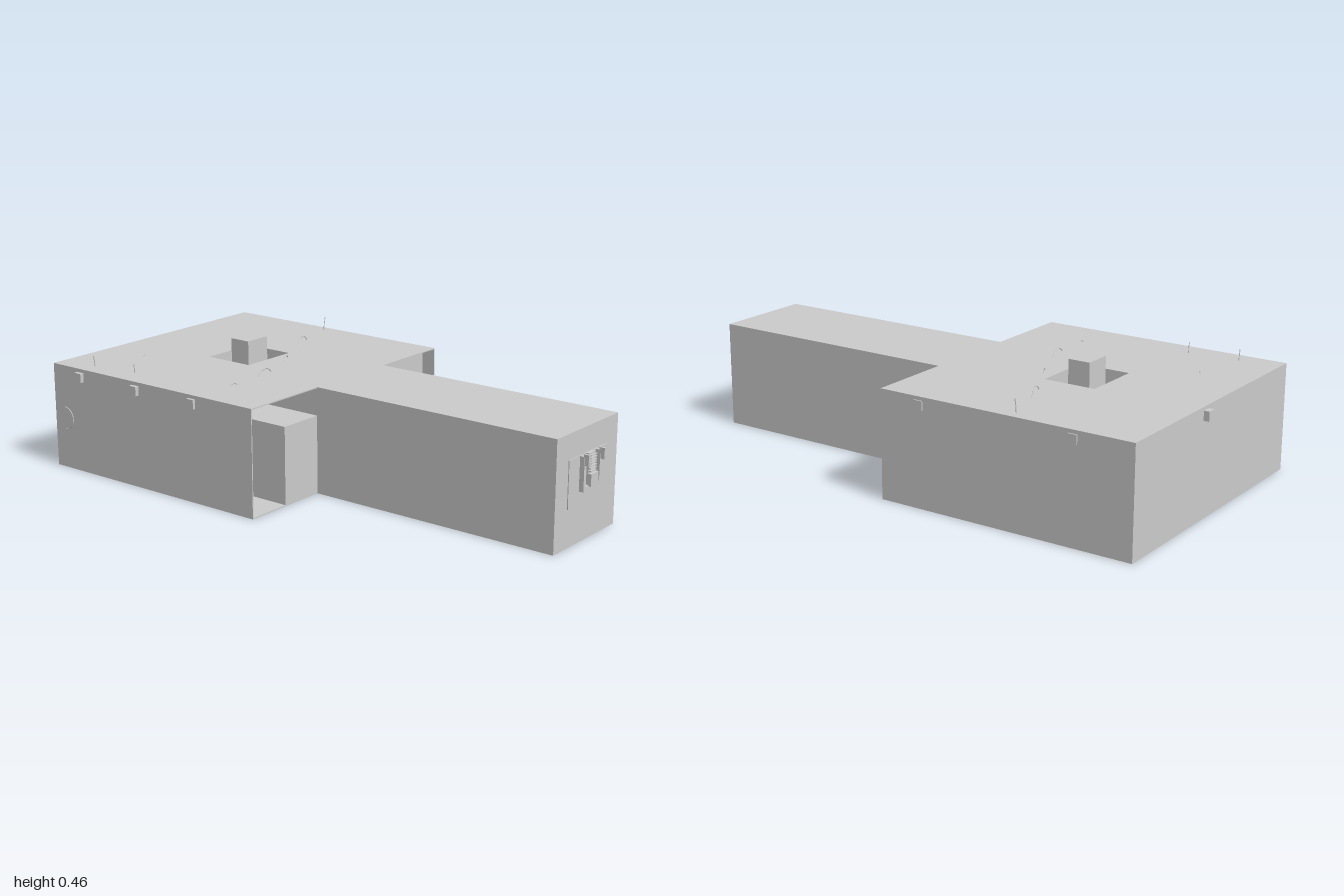
import * as THREE from 'three';

const grey = new THREE.MeshStandardMaterial({ color: 0xcccccc, side: THREE.DoubleSide });

export function createModel() {
  const model = new THREE.Group();

  const add = (name, geometry, parent = model) => {
    const mesh = new THREE.Mesh(geometry, grey);
    mesh.name = name;
    parent.add(mesh);
    return mesh;
  };
  // Box given by its limits on each axis
  const box = (name, x0, x1, y0, y1, z0, z1, parent) => {
    const mesh = add(name, new THREE.BoxGeometry(x1 - x0, y1 - y0, z1 - z0), parent);
    mesh.position.set((x0 + x1) / 2, (y0 + y1) / 2, (z0 + z1) / 2);
    return mesh;
  };
  const rectHole = (x0, x1, y0, y1) => new THREE.Path([
    new THREE.Vector2(x0, y0), new THREE.Vector2(x0, y1),
    new THREE.Vector2(x1, y1), new THREE.Vector2(x1, y0)]);
  const rectShape = (x0, x1, y0, y1) => new THREE.Shape([
    new THREE.Vector2(x0, y0), new THREE.Vector2(x1, y0),
    new THREE.Vector2(x1, y1), new THREE.Vector2(x0, y1)]);
  const extrude = (shape, depth) => new THREE.ExtrudeGeometry(shape, { depth, bevelEnabled: false, curveSegments: 6 });

  // Main hall: floor, three walls and a roof with a square opening
  const L = -0.52, R = 0.525, B = -0.98, F = -0.015, H = 0.39, T = 0.004;
  box('floor', L, R, 0, T, B, F);
  box('backWall', L, R, 0, H, B, B + T);
  box('rightWall', L, L + T, 0, H, B, F);
  box('leftWall', R - T, R, 0, H, B, F);
  const roofShape = rectShape(L, R, -F, -B);
  roofShape.holes.push(rectHole(-0.1, 0.125, 0.4, 0.595));
  const roof = add('roof', extrude(roofShape, T));
  roof.rotation.x = -Math.PI / 2;
  roof.position.y = H - T;

  // Sunken light well with the shaft rising out of it
  const well = new THREE.Group();
  well.name = 'lightWell';
  model.add(well);
  box('wellFloor', -0.1, 0.125, 0.285, 0.289, -0.595, -0.4, well);
  for (const x of [-0.104, 0.125]) box('wellSide', x, x + T, 0.285, H - T, -0.599, -0.396, well);
  for (const z of [-0.599, -0.4]) box('wellEnd', -0.1, 0.125, 0.285, H - T, z, z + T, well);
  box('shaft', -0.037, 0.068, 0.285, 0.457, -0.54, -0.457, well);

  // Corridor
  box('corridor', -0.176, 0.203, 0, H, F, 0.96);

  // Low block and tall block filling the open front of the hall
  box('lowBlock', -0.35, -0.176, T, 0.287, -0.3, F);
  box('tallBlockLower', 0.203, 0.447, T, 0.287, -0.25, F - 0.004);
  box('tallBlockUpper', 0.203, 0.447, 0.287, H - T, -0.25, F);
  const frameShape = rectShape(0.265, 0.405, 0.105, 0.285);
  frameShape.holes.push(rectHole(0.273, 0.397, 0.115, 0.28));
  add('windowFrame', extrude(frameShape, 0.008)).position.z = F - 0.005;

  // Rounded panel on the end of the corridor
  const p = new THREE.Shape();
  p.moveTo(-0.102, 0.302);
  p.lineTo(-0.102, 0.145);
  p.quadraticCurveTo(-0.102, 0.131, -0.088, 0.131);
  p.lineTo(0.126, 0.131);
  p.quadraticCurveTo(0.14, 0.131, 0.14, 0.145);
  p.lineTo(0.14, 0.302);
  add('endPanel', extrude(p, 0.003)).position.z = 0.96;

  // U-shaped bracket with hinge knuckles and a slatted centre
  const bracket = new THREE.Group();
  bracket.name = 'endBracket';
  model.add(bracket);
  const u = new THREE.Shape([
    [-0.037, 0.3], [-0.037, 0.18], [0.075, 0.18], [0.075, 0.3],
    [0.061, 0.3], [0.061, 0.195], [-0.023, 0.195], [-0.023, 0.3],
  ].map(([x, y]) => new THREE.Vector2(x, y)));
  add('bracketFrame', extrude(u, 0.018), bracket).position.z = 0.962;
  for (const s of [-1, 1]) {
    const cx = 0.019 + s * 0.049;
    box('bracketArm', cx - 0.005, cx + 0.005, 0.27, 0.308, 0.975, 0.995, bracket);
    const knob = add('bracketKnob', new THREE.CylinderGeometry(0.007, 0.007, 0.016, 12), bracket);
    knob.position.set(cx, 0.278, 0.992);
  }
  box('centreStrip', 0, 0.038, 0.19, 0.302, 0.962, 0.975, bracket);
  for (let i = 0; i < 12; i++) {
    const y = 0.194 + i * 0.009;
    box('slat', 0.001, 0.037, y, y + 0.004, 0.975, 0.983, bracket);
  }
  box('lowerCatch', -0.004, 0.042, 0.192, 0.234, 0.975, 0.988, bracket);

  // Small fittings high on the outer walls
  for (const [z, out] of [[-0.84, 0.015], [-0.56, 0.015], [-0.287, 0.011]])
    box('rightFitting', L - out, L, 0.343, 0.377, z - 0.016, z + 0.016);
  for (const z of [-0.76, -0.17])
    box('leftFitting', R, R + 0.005, 0.343, 0.377, z - 0.016, z + 0.016);
  box('backFitting', 0.056, 0.09, 0.343, 0.377, -1, B);

  // Thin hoop on the right wall
  const hoop = add('wallHoop', new THREE.TorusGeometry(0.042, 0.002, 6, 16, Math.PI));
  hoop.rotation.set(0, Math.PI / 2, Math.PI / 2, 'YXZ');
  hoop.position.set(L - 0.001, 0.19, -0.93);

  // Wire loops that break through the roof
  const wire = (name, points, r = 0.0016) => add(name, new THREE.TubeGeometry(
    new THREE.CatmullRomCurve3(points.map(q => new THREE.Vector3(...q))), 14, r, 6));
  for (const [x0, z0, x1, z1, top] of [
    [-0.208, -0.26, -0.112, -0.28, 0.41], [0.23, -0.445, 0.328, -0.48, 0.413],
    [0.03, -0.34, 0.076, -0.362, 0.402], [-0.36, -0.255, -0.32, -0.257, 0.397],
    [-0.25, -0.786, -0.235, -0.796, 0.394]]) {
    const at = (t, y) => [x0 + (x1 - x0) * t, y, z0 + (z1 - z0) * t];
    const rise = top - H;
    wire('roofLoop', [at(0, H - 0.002), at(0.22, H + rise * 0.7), at(0.5, top), at(0.78, H + rise * 0.7), at(1, H - 0.002)]);
  }
  // Short upright wire ends
  for (const [x, z, lean, top] of [
    [-0.455, -0.83, -0.006, 0.428], [-0.441, -0.64, -0.004, 0.426],
    [0.491, -0.53, 0.009, 0.44]])
    wire('roofWire', [[x, H - 0.01, z], [x + lean * 0.4, (H + top) / 2, z], [x + lean, top, z]]);

  return model;
}
